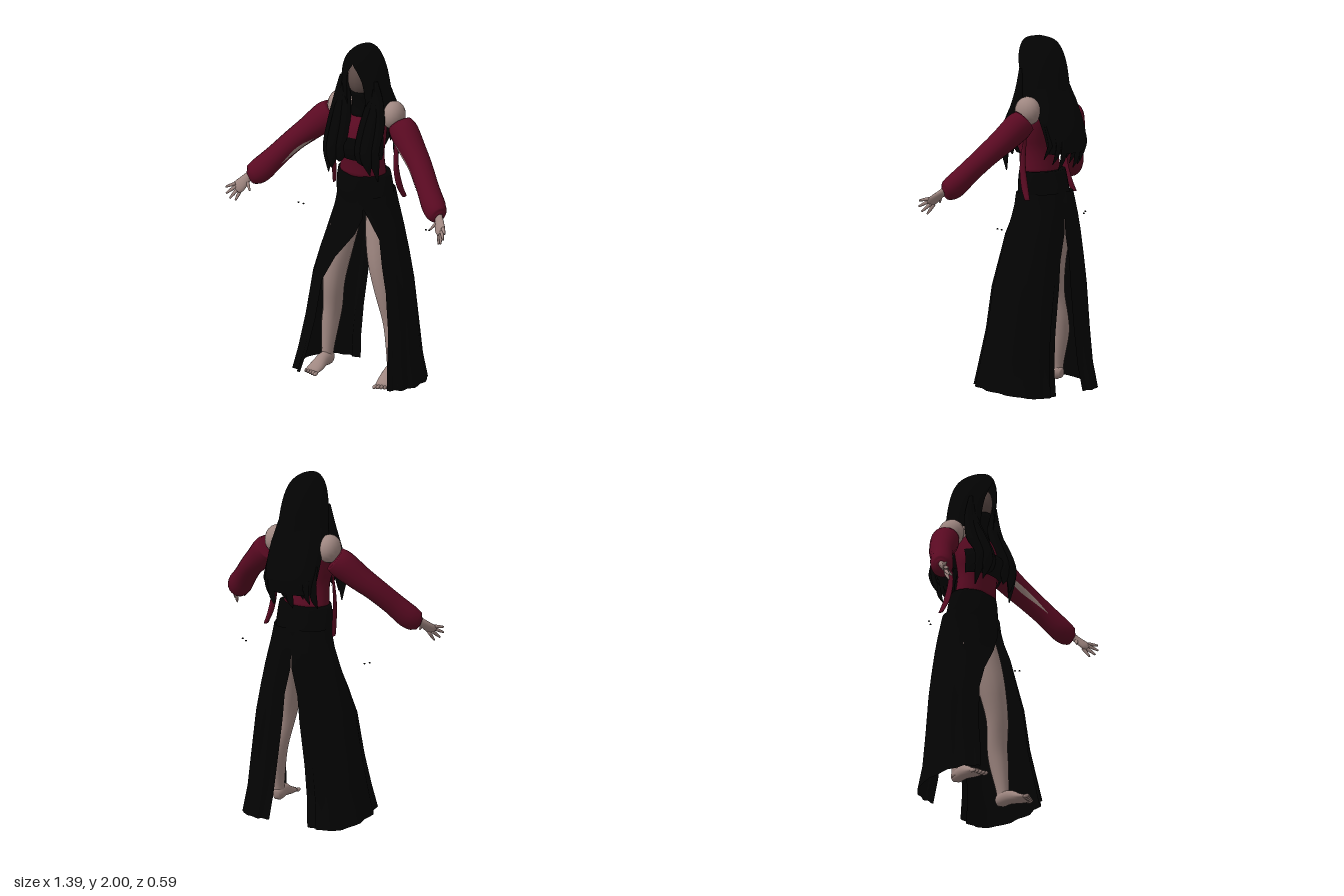
import * as THREE from 'three';

const mat = (name, color, side = THREE.FrontSide) => {
  const m = new THREE.MeshStandardMaterial({ color, side });
  m.name = name;
  return m;
};
const V = (x, y, z) => new THREE.Vector3(x, y, z);

// Index a grid of rings; wrap joins the last column to the first.
function gridIndex(rows, cols, wrap) {
  const idx = [], span = wrap ? cols : cols - 1;
  for (let i = 0; i < rows - 1; i++) for (let j = 0; j < span; j++) {
    const a = i * cols + j, b = i * cols + (j + 1) % cols;
    idx.push(a, a + cols, b, b, a + cols, b + cols);
  }
  return idx;
}
function build(pos, idx) {
  const g = new THREE.BufferGeometry();
  g.setAttribute('position', new THREE.Float32BufferAttribute(pos, 3));
  g.setIndex(idx);
  g.computeVertexNormals();
  return g;
}

// Smooth skin over elliptical rings [x, y, z, ru, rv].
// ref: null keeps rings level, otherwise rings stand across the path.
// arc(t) limits the angle, which leaves the surface open; pow below 1 squares the rings.
function loft(rings, { ref = null, seg = 16, sub = 4, arc = null, pow = 1 } = {}) {
  const path = new THREE.CatmullRomCurve3(rings.map(r => V(r[0], r[1], r[2])), false, 'catmullrom');
  const size = new THREE.CatmullRomCurve3(rings.map(r => V(r[3], r[4], 0)), false, 'catmullrom');
  const n = (rings.length - 1) * sub, cols = arc ? seg + 1 : seg, pos = [];
  const bend = k => Math.sign(k) * Math.abs(k) ** pow;
  for (let i = 0; i <= n; i++) {
    const t = i / n, c = path.getPoint(t), s = size.getPoint(t);
    let tan = path.getTangent(t), u = V(1, 0, 0);
    if (ref) u = tan.clone().cross(ref).normalize();
    else tan = V(0, Math.sign(rings[rings.length - 1][1] - rings[0][1]), 0);
    const v = u.clone().cross(tan), [a0, a1] = arc ? arc(t) : [0, Math.PI * 2];
    for (let j = 0; j < cols; j++) {
      const a = a0 + (a1 - a0) * j / seg;
      const p = c.clone().addScaledVector(u, bend(Math.cos(a)) * s.x).addScaledVector(v, bend(Math.sin(a)) * s.y);
      pos.push(p.x, p.y, p.z);
    }
  }
  const idx = gridIndex(n + 1, cols, !arc);
  if (!arc) { // end caps
    const a = path.getPoint(0), b = path.getPoint(1), k = pos.length / 3;
    pos.push(a.x, a.y, a.z, b.x, b.y, b.z);
    for (let j = 0; j < cols; j++) {
      const q = (j + 1) % cols;
      idx.push(k, j, q, k + 1, n * cols + q, n * cols + j);
    }
  }
  return build(pos, idx);
}

// Half of the skirt: levels [y, frontEdgeX, frontZ, outerX, backZ, backEdgeX].
function skirtPanel(levels, s) {
  const cols = 29, sub = 3, pos = [];
  const n = (levels.length - 1) * sub;
  for (let i = 0; i <= n; i++) {
    const k = Math.min(Math.floor(i / sub), levels.length - 2), f = i / sub - k;
    const [y, fx, fz, ox, bz, bx] = levels[k].map((a, m) => a + (levels[k + 1][m] - a) * f);
    const mid = (a, b, w) => a + (b - a) * w;
    const curve = new THREE.CatmullRomCurve3([
      V(fx, 0, fz), V(mid(fx, ox, 0.7), 0, mid(bz, fz, 0.86)), V(ox, 0, mid(bz, fz, 0.5)),
      V(mid(bx, ox, 0.78), 0, mid(bz, fz, 0.1)), V(mid(bx, ox, 0.35), 0, bz), V(bx, 0, bz + 0.01)]);
    const low = Math.max(0, 1 - y);
    for (let j = 0; j < cols; j++) {
      const p = curve.getPoint(j / (cols - 1)), fold = 0.007 * low * Math.sin(j * 1.55);
      const lift = low * low * 0.055 * (p.z - bz) / (fz - bz);
      pos.push(s * (p.x + fold), y + lift, p.z + fold);
    }
  }
  return build(pos, gridIndex(n + 1, cols, false));
}

export function createModel() {
  const root = new THREE.Group();
  root.name = 'longHairedWoman';
  const black = mat('black cloth and hair', 0x030303, THREE.DoubleSide);
  const crimson = mat('crimson cloth', 0x5a0a22, THREE.DoubleSide);
  const skin = mat('skin', 0x9f8781, THREE.DoubleSide);
  const shade = mat('dark face', 0x5c4b47);
  const add = (name, geo, m, parent = root) => {
    const mesh = new THREE.Mesh(geo, m);
    mesh.name = name;
    parent.add(mesh);
    return mesh;
  };
  const ball = (name, m, p, r, parent) => {
    const b = add(name, new THREE.SphereGeometry(1, 16, 12), m, parent);
    b.position.set(...p);
    b.scale.set(...r);
  };
  const Z = V(0, 0, 1), Y = V(0, 1, 0), PI = Math.PI;

  // Torso, neck and head
  add('top', loft([[0, 1.23, -0.045, 0.137, 0.1], [0, 1.36, -0.03, 0.13, 0.095], [0, 1.45, -0.02, 0.145, 0.115],
    [0, 1.54, -0.04, 0.14, 0.11], [0, 1.61, -0.06, 0.12, 0.085]], { seg: 28 }), crimson);
  add('bustBand', loft([[0, 1.35, -0.02, 0.137, 0.1], [0, 1.4, -0.01, 0.152, 0.13], [0, 1.45, -0.01, 0.153, 0.135],
    [0, 1.49, -0.02, 0.147, 0.105]], { seg: 24, arc: () => [0.1, PI - 0.1] }), black);
  add('upperChest', loft([[0, 1.57, -0.07, 0.17, 0.075], [0, 1.63, -0.07, 0.16, 0.065], [0, 1.69, -0.07, 0.06, 0.05]]), skin);
  add('collar', loft([[0, 1.6, -0.045, 0.075, 0.085], [0, 1.66, -0.045, 0.06, 0.075], [0, 1.745, -0.03, 0.062, 0.085]]), black);
  ball('face', shade, [0, 1.815, -0.03], [0.078, 0.115, 0.092]);
  for (let i = 0; i < 4; i++) {
    const lace = add('lace', new THREE.BoxGeometry(0.014, 0.006, 0.006), skin);
    lace.position.set(-0.036, 1.5 + i * 0.025, 0.083 - i * 0.014);
  }

  // Hair: cap open at the face, back fall and loose locks
  add('hairCap', loft([[0, 1.64, -0.085, 0.15, 0.13], [0, 1.75, -0.075, 0.138, 0.132], [0, 1.85, -0.058, 0.122, 0.138],
    [0, 1.93, -0.046, 0.095, 0.126], [0, 1.98, -0.04, 0.052, 0.09], [0, 2.0, -0.04, 0.001, 0.002]],
  { seg: 36, arc: t => {
    const h = 0.4 * Math.sqrt(THREE.MathUtils.clamp((0.56 - t) / 0.22, 0, 1));
    return [PI / 2 + h, PI * 2.5 - h];
  } }), black);
  add('backHair', loft([[0, 1.36, -0.2, 0.14, 0.085], [0, 1.45, -0.19, 0.158, 0.108], [0, 1.58, -0.14, 0.16, 0.12],
    [0, 1.72, -0.075, 0.142, 0.128]], { seg: 24, arc: () => [PI, PI * 2], pow: 0.85 }), black);
  for (let i = 0; i < 11; i++) {
    const a = (i - 5) / 5, x = 0.145 * a, z = -0.283 + 0.06 * a ** 4, tip = 1.27 + 0.03 * ((i * 5) % 4);
    add('hairTip', loft([[x, 1.52, z + 0.03, 0.018, 0.01], [x, 1.42, z, 0.026, 0.01],
      [x * 1.03, tip + 0.05, z + 0.015, 0.02, 0.008], [x * 1.08, tip, z + 0.04, 0.002, 0.002]], { seg: 8 }), black);
  }

  for (const s of [1, -1]) {
    const side = new THREE.Group();
    side.name = s > 0 ? 'leftSide' : 'rightSide';
    root.add(side);
    const at = rings => rings.map(([x, ...rest]) => [s * x, ...rest]);

    // Front locks, growing from inside the cap
    [[0.065, 1.33, 0], [0.105, 1.29, 0.012], [0.14, 1.25, -0.015]].forEach(([x, tip, dz]) => {
      add('frontLock', loft(at([[x * 0.55 + 0.03, 1.82, 0.01, 0.012, 0.012], [x * 0.6 + 0.04, 1.7, 0.01, 0.03, 0.022],
        [x, 1.56, 0.055 + dz, 0.035, 0.036], [x, 1.45, 0.11 + dz, 0.036, 0.026],
        [x + 0.005, 1.37, 0.11 + dz, 0.032, 0.018], [x + 0.015, tip, 0.09 + dz, 0.003, 0.003]]), { seg: 10 }), black, side);
    });

    // Shoulder and sleeve with an open seam on the inner side
    ball('shoulder', skin, [s * 0.17, 1.597, -0.082], [0.065, 0.08, 0.078], side);
    const sleeve = at([[0.21, 1.545, -0.085, 0.07, 0.074], [0.25, 1.51, -0.065, 0.082, 0.078], [0.33, 1.435, -0.02, 0.071, 0.073],
      [0.4, 1.37, 0.025, 0.064, 0.067], [0.48, 1.28, 0.09, 0.064, 0.062], [0.545, 1.205, 0.14, 0.07, 0.062],
      [0.585, 1.175, 0.168, 0.058, 0.05], [0.602, 1.166, 0.18, 0.03, 0.026]]);
    add('sleeve', loft(sleeve, { ref: Z, seg: 20 }), crimson, side);
    add('sleeveOpening', loft(sleeve.slice(s > 0 ? 1 : 2, 5).map(([x, y, z, a, b]) => [x, y, z, a + 0.003, b + 0.003]), {
      ref: Z, seg: 6, sub: 6, arc: t => {
        const w = 0.22 * Math.sin(PI * t) + 0.01, c = s > 0 ? 0.88 : PI - 0.6;
        return [c - w, c + w];
      } }), skin, side);

    // Hand: palm, four fingers and thumb
    add('palm', loft(at([[0.59, 1.18, 0.175, 0.022, 0.02], [0.61, 1.155, 0.2, 0.028, 0.016],
      [0.635, 1.12, 0.235, 0.036, 0.014], [0.648, 1.105, 0.248, 0.026, 0.01]]), { ref: Z, seg: 12 }), skin, side);
    const fingers = [[0.655, 1.135, 0.24, 0.69, 1.125, 0.285], [0.65, 1.12, 0.245, 0.684, 1.09, 0.292],
      [0.64, 1.105, 0.24, 0.665, 1.06, 0.285], [0.625, 1.1, 0.23, 0.64, 1.045, 0.265], [0.602, 1.15, 0.2, 0.568, 1.105, 0.23]];
    for (const [x, y, z, X, W, D] of fingers) {
      add('finger', loft(at([[x, y, z, 0.011, 0.01], [(x + X) / 2, (y + W) / 2, (z + D) / 2, 0.009, 0.009],
        [X, W, D, 0.005, 0.005]]), { ref: Y, seg: 8, sub: 3 }), skin, side);
    }

    // Leg, foot and toes; the right thigh stands a little further out
    const out = s > 0 ? 0 : 0.02;
    add('leg', loft(at([[0.205, 0.07, -0.005, 0.032, 0.038], [0.205, 0.14, -0.01, 0.034, 0.038], [0.198, 0.3, -0.03, 0.05, 0.056],
      [0.184, 0.4, -0.03, 0.054, 0.06], [0.158 + out * 0.5, 0.55, -0.01, 0.062, 0.062], [0.125 + out, 0.72, -0.02, 0.074, 0.078],
      [0.105 + out, 0.88, -0.05, 0.083, 0.09], [0.085, 1.02, -0.07, 0.07, 0.085]])), skin, side);
    add('foot', loft(at([[0.2, 0.078, -0.045, 0.018, 0.025], [0.202, 0.085, -0.015, 0.034, 0.042], [0.208, 0.088, 0.04, 0.036, 0.04],
      [0.216, 0.068, 0.1, 0.044, 0.026], [0.222, 0.056, 0.15, 0.042, 0.016]]), { ref: Y }), skin, side);
    for (let i = 0; i < 5; i++) {
      ball('toe', skin, [s * (0.187 + i * 0.018), 0.053, 0.168 - i * 0.007], [0.011 - i * 0.001, 0.011, 0.022], side);
    }

    // Skirt half; the left one opens wider at the front
    const front = s > 0 ? [0.04, 0.06, 0.1, 0.165, 0.195, 0.23, 0.255, 0.268, 0.28]
      : [-0.04, -0.06, -0.055, -0.01, 0.1, 0.172, 0.205, 0.235, 0.268];
    const rest = [[1.13, 0.064, 0.168, -0.198, 0], [1.06, 0.068, 0.178, -0.212, 0], [1.0, 0.07, 0.192, -0.22, 0],
      [0.9, 0.076, 0.222, -0.222, 0.005], [0.75, 0.1, 0.258, -0.22, 0.042], [0.6, 0.12, 0.292, -0.22, 0.056],
      [0.35, 0.138, 0.325, -0.218, 0.09], [0.15, 0.175, 0.348, -0.226, 0.113], [0.005, 0.2, 0.372, -0.248, 0.128]];
    add('skirtPanel', skirtPanel(rest.map((r, i) => [r[0], front[i], ...r.slice(1)]), s), black, side);

    // Hanging ribbon and small loose beads
    const w = s > 0 ? 0.014 : 0.006;
    add('ribbon', loft(at([[0.19, 1.46, -0.08, w, 0.004], [0.195, 1.3, -0.065, w, 0.018],
      [0.205, 1.18, -0.085, w, 0.024], [0.22, 1.105, -0.115, w * 0.8, 0.018]]), { seg: 8 }), crimson, side);
    ball('bead', black, [s * 0.385, 0.955, -0.06], [0.006, 0.004, 0.006], side);
    ball('bead', black, [s * 0.412, 0.962, -0.05], [0.006, 0.004, 0.006], side);
  }

  // Skirt waist and hips
  add('skirtWaist', loft([[0, 1.05, -0.072, 0.155, 0.122], [0, 1.12, -0.067, 0.166, 0.13], [0, 1.2, -0.06, 0.162, 0.12],
    [0, 1.25, -0.057, 0.154, 0.112]], { seg: 32 }), black);
  return root;
}
